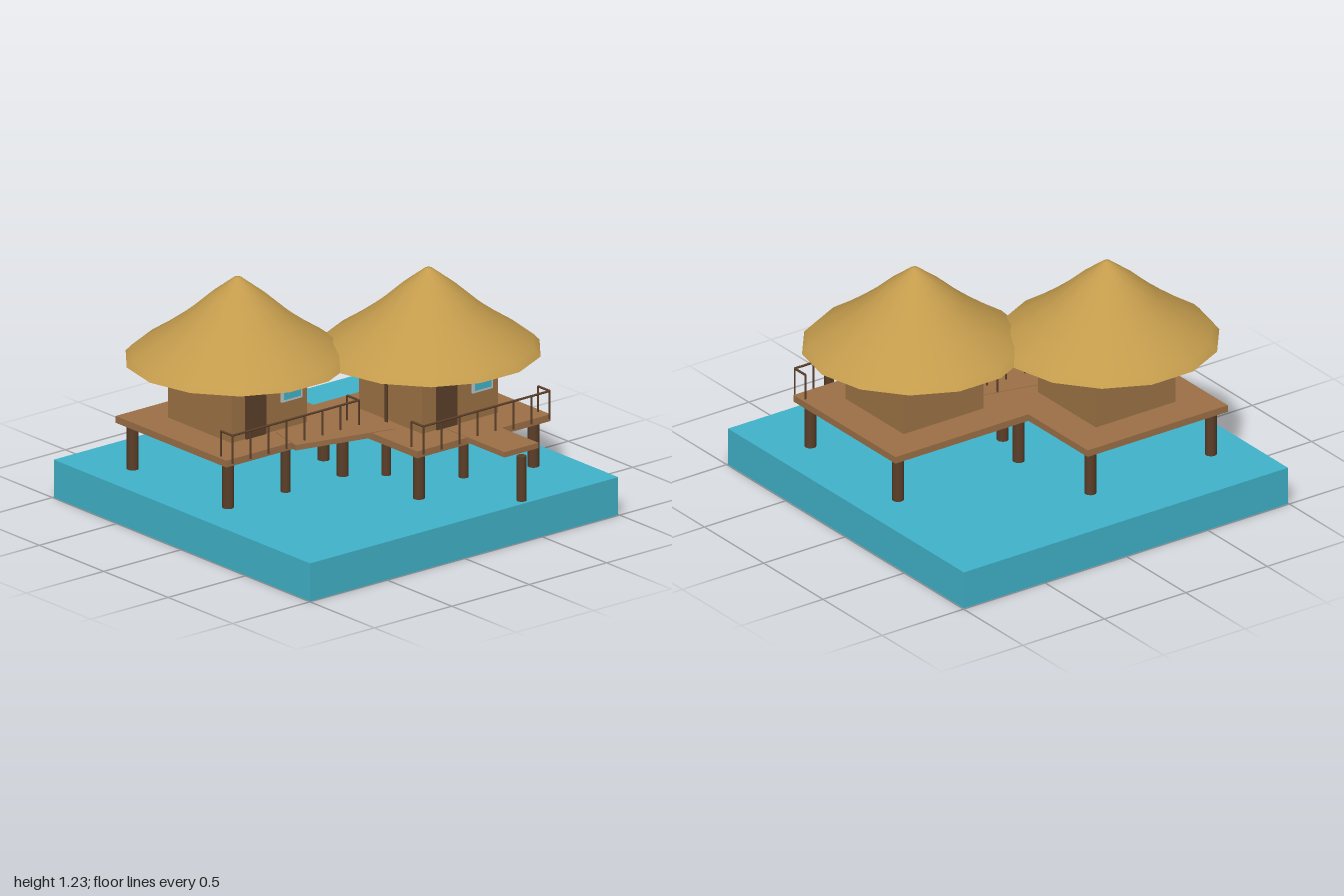
import * as THREE from 'three';

const mat = (name, color, extra = {}) => {
  const m = new THREE.MeshStandardMaterial({ color, ...extra });
  m.name = name;
  return m;
};

export function createModel() {
  const water = mat('water', 0x41b4cb);
  const thatch = mat('thatch', 0xc39b4c, { side: THREE.DoubleSide });
  const wood = mat('plank wood', 0x9c7047);
  const wallWood = mat('wall wood', 0x9e7346);
  const dark = mat('dark wood', 0x5c3f29);
  const frame = mat('window frame', 0xb9c6c8);

  const model = new THREE.Group();
  model.name = 'stiltHuts';

  const add = (parent, name, geo, material, x, y, z) => {
    const m = new THREE.Mesh(geo, material);
    m.name = name;
    m.position.set(x, y, z);
    parent.add(m);
    return m;
  };
  const box = (parent, name, material, w, h, d, x, y, z) =>
    add(parent, name, new THREE.BoxGeometry(w, h, d), material, x, y, z);
  // upright round post between two heights
  const post = (parent, name, r, y0, y1, x, z, sides = 12) =>
    add(parent, name, new THREE.CylinderGeometry(r, r, y1 - y0, sides), dark, x, (y0 + y1) / 2, z);
  // thin horizontal bar between two points at one height
  const bar = (parent, x0, z0, x1, z1, y) => {
    const len = Math.hypot(x1 - x0, z1 - z0);
    const m = add(parent, 'handrail', new THREE.CylinderGeometry(0.006, 0.006, len, 8), dark,
      (x0 + x1) / 2, y, (z0 + z1) / 2);
    m.quaternion.setFromUnitVectors(new THREE.Vector3(0, 1, 0),
      new THREE.Vector3(x1 - x0, 0, z1 - z0).normalize());
  };

  box(model, 'waterBase', water, 1.99, 0.2, 1.99, 0, 0.1, 0);

  // concave thatched cone with a short lip at the eave
  const roofProfile = [[0.568, 0.8], [0.535, 0.834], [0.42, 0.91], [0.33, 0.975], [0.25, 1.038],
    [0.14, 1.135], [0.02, 1.226], [0, 1.23]].map(([r, y]) => new THREE.Vector2(r, y));
  const roofGeo = new THREE.LatheGeometry(roofProfile, 14, Math.PI / 14);

  const buildHut = (cx, cz) => {
    const hut = new THREE.Group();
    hut.name = 'hut';
    hut.position.set(cx, 0, cz);
    model.add(hut);

    box(hut, 'deck', wood, 0.86, 0.036, 0.86, 0, 0.457, 0);
    for (const sx of [-1, 1]) for (const sz of [-1, 1])
      post(hut, 'stilt', 0.03, 0.19, 0.44, sx * 0.37, sz * 0.37);

    box(hut, 'walls', wallWood, 0.49, 0.32, 0.49, 0, 0.632, 0);
    add(hut, 'roof', roofGeo, thatch, 0, 0, 0);

    // front openings
    box(hut, 'door', dark, 0.13, 0.23, 0.01, -0.09, 0.59, 0.249);
    box(hut, 'windowFrame', frame, 0.13, 0.15, 0.014, 0.138, 0.693, 0.251);
    box(hut, 'windowGlass', water, 0.106, 0.126, 0.006, 0.138, 0.693, 0.258);

    // railing along the front with short returns
    const e = 0.408, zf = 0.45, zr = 0.36, top = 0.608;
    for (let i = 0; i < 8; i++)
      post(hut, 'railPost', 0.005, 0.46, top, -e + (2 * e * i) / 7, zf, 8);
    bar(hut, -e, zf, e, zf, top);
    for (const s of [-1, 1]) {
      post(hut, 'railPost', 0.005, 0.46, top, s * e, zr, 8);
      bar(hut, s * e, zr, s * e, zf, top);
    }
  };
  buildHut(-0.408, -0.273);
  buildHut(0.408, 0.228);

  // plank walkway with a post under each end
  const walkway = (name, x0, z0, x1, z1) => {
    const len = Math.hypot(x1 - x0, z1 - z0);
    const m = box(model, name, wood, len, 0.028, 0.22, (x0 + x1) / 2, 0.464, (z0 + z1) / 2);
    m.rotation.y = -Math.atan2(z1 - z0, x1 - x0);
    post(model, 'walkwayPost', 0.025, 0.19, 0.435, x0, z0);
    post(model, 'walkwayPost', 0.025, 0.19, 0.435, x1, z1);
  };
  walkway('bridge', -0.408, 0.1, 0.135, 0.228);
  walkway('jetty', 0.408, 0.5, 0.408, 0.95);

  // lamp at the end of the bridge
  post(model, 'lampPole', 0.008, 0.46, 0.72, 0.135, 0.228, 8);
  add(model, 'lampBulb', new THREE.SphereGeometry(0.02, 12, 8), thatch, 0.135, 0.735, 0.228)
    .scale.set(1, 1.4, 1);

  return model;
}
